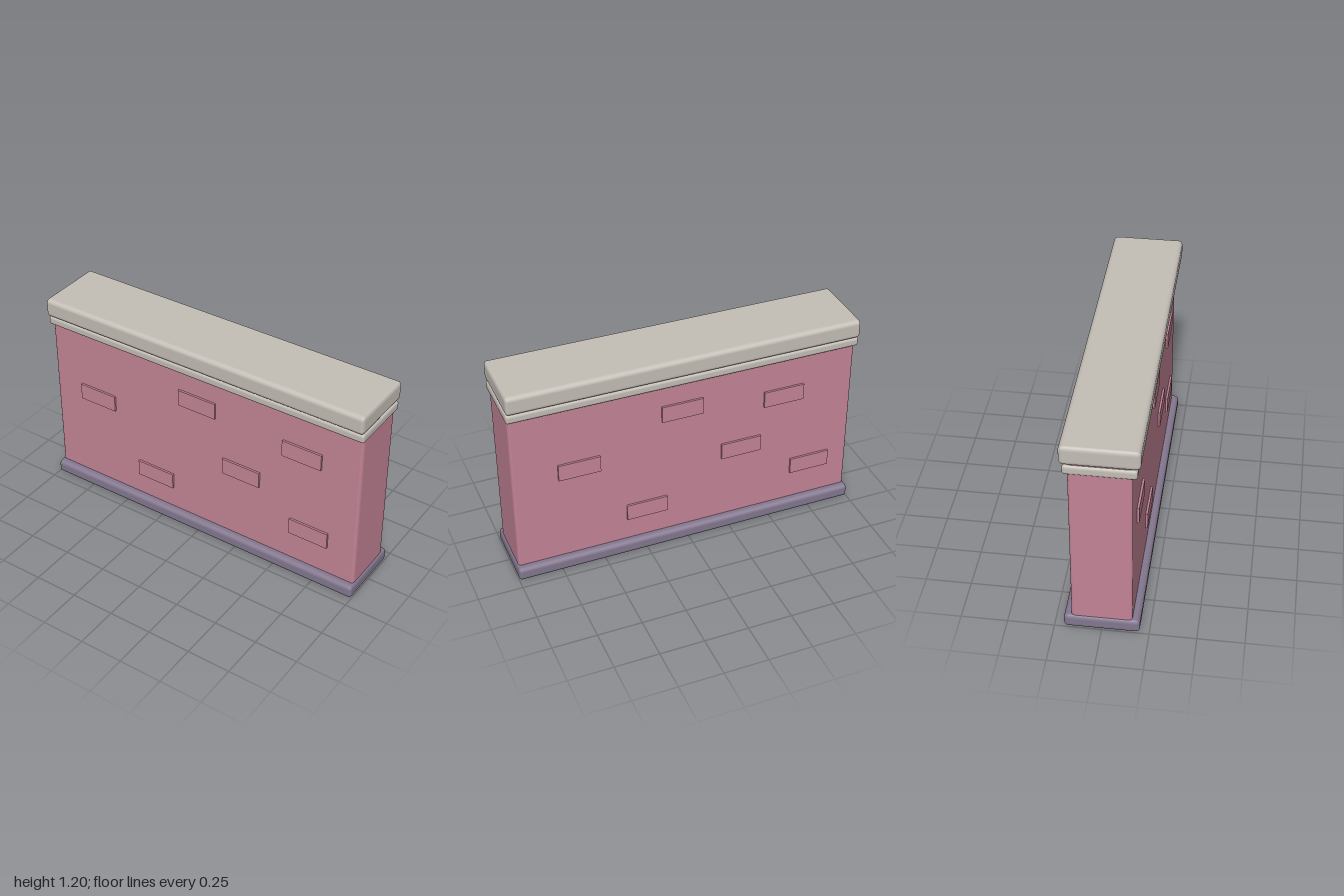
import * as THREE from 'three';
import { RoundedBoxGeometry } from 'three/addons/geometries/RoundedBoxGeometry.js';

const material = (name, color) => {
  const m = new THREE.MeshStandardMaterial({ color });
  m.name = name;
  return m;
};

export function createModel() {
  const group = new THREE.Group();
  group.name = 'brickWall';
  const pink = material('pink brick', 0xc48496);
  const stone = material('pale stone', 0xc4beb6);
  const purple = material('purple plinth', 0x84788f);

  // Rounded slab between two heights, its bevel a little shorter along x
  const slab = (name, mat, width, depth, y0, y1, radius) => {
    const squash = 0.65;
    const geo = new RoundedBoxGeometry(width / squash, y1 - y0, depth, 3, radius);
    geo.scale(squash, 1, 1);
    geo.translate(0, (y0 + y1) / 2, 0);
    const mesh = new THREE.Mesh(geo, mat);
    mesh.name = name;
    group.add(mesh);
  };

  slab('base', purple, 2, 0.4, 0, 0.08, 0.025);
  slab('wall', pink, 1.98, 0.32, 0.06, 1.1, 0.022);
  slab('moulding', stone, 2, 0.37, 1.032, 1.087, 0.018);
  slab('capstone', stone, 2, 0.4, 1.09, 1.2, 0.025);

  // Raised bricks: [front centre x, back centre x, centre y]
  const bricks = [
    [-0.69, 0.62, 0.643],
    [-0.3, 0.24, 0.263],
    [-0.015, 0.03, 0.863],
    [0.27, -0.32, 0.523],
    [0.643, -0.57, 0.803],
    [0.703, -0.75, 0.303],
  ];
  const brickGeo = new THREE.BoxGeometry(0.237, 0.097, 0.03);
  for (const [frontX, backX, y] of bricks) {
    for (const [name, x, z] of [['frontBrick', frontX, 0.157], ['backBrick', backX, -0.157]]) {
      const brick = new THREE.Mesh(brickGeo, pink);
      brick.name = name;
      brick.position.set(x, y, z);
      group.add(brick);
    }
  }
  return group;
}
